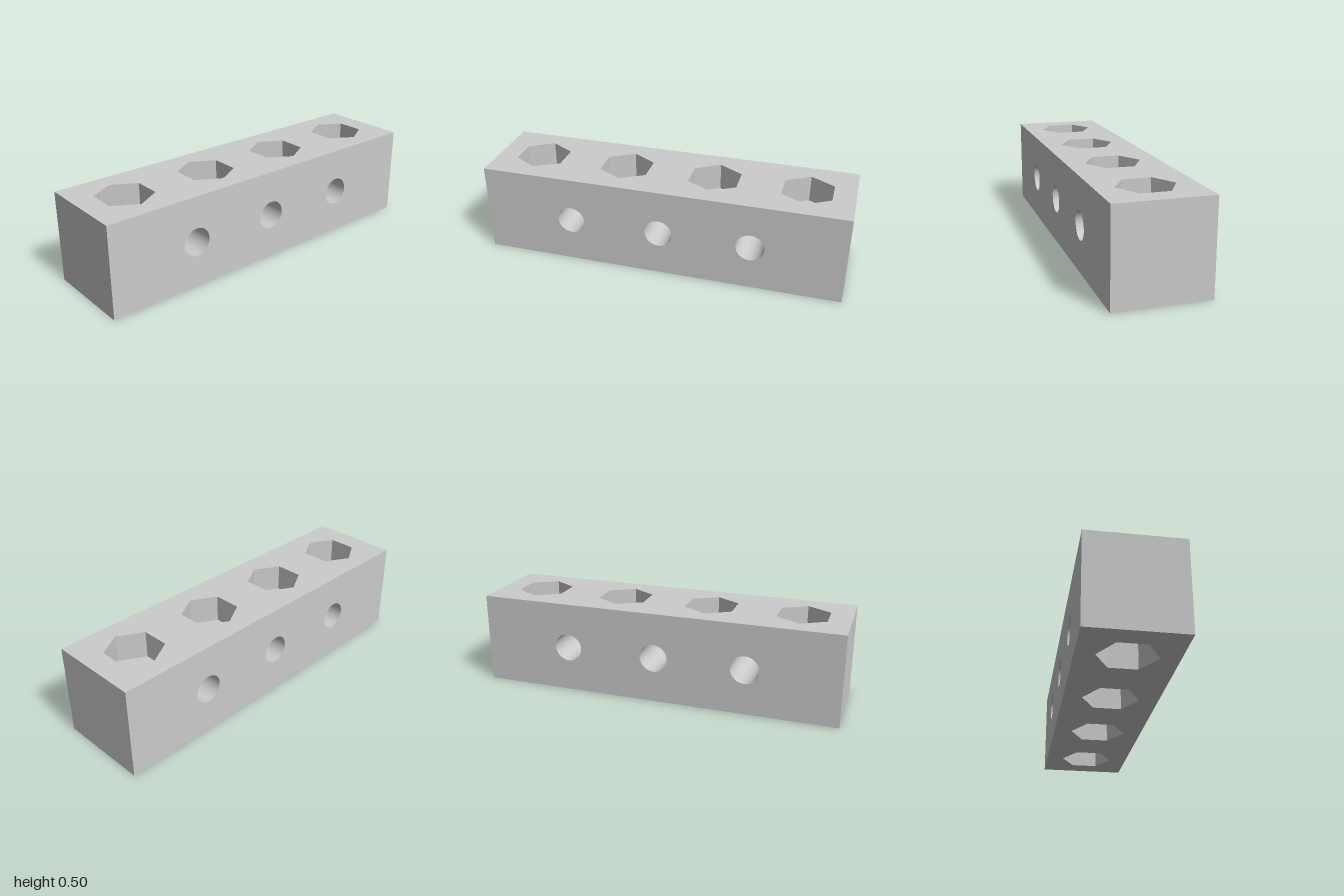
import * as THREE from 'three';

const LENGTH = 2, SIZE = 0.5, HALF = SIZE / 2;
const BORE_R = 0.077, HEX_R = 0.151, POCKET = 0.147, ROUND = 48;
const BOLT_X = [-0.75, -0.25, 0.25, 0.75];
const CROSS_X = [-0.5, 0, 0.5];

const grey = new THREE.MeshStandardMaterial({ color: 0xcccccc });
const greyFlat = new THREE.MeshStandardMaterial({ color: 0xcccccc, flatShading: true });

function add(parent, name, geometry, material = grey) {
  const mesh = new THREE.Mesh(geometry, material);
  mesh.name = name;
  parent.add(mesh);
  return mesh;
}

// Corner points of a regular polygon, first corner on the vertical axis
function ring(x, radius, sides) {
  return Array.from({ length: sides }, (_, i) => {
    const a = (i / sides) * Math.PI * 2;
    return new THREE.Vector2(x + radius * Math.sin(a), radius * Math.cos(a));
  });
}

// Flat plate outline with polygonal openings
function plate(outline, xs, radius, sides) {
  const shape = new THREE.Shape(outline);
  xs.forEach((x) => shape.holes.push(new THREE.Path(ring(x, radius, sides))));
  return new THREE.ShapeGeometry(shape);
}

// Inward-facing wall of an opening around the y axis
function wall(radius, top, bottom, sides) {
  return new THREE.LatheGeometry(
    [new THREE.Vector2(radius, top), new THREE.Vector2(radius, bottom)], sides);
}

export function createModel() {
  const model = new THREE.Group();
  model.name = 'drilledBeam';
  const beam = new THREE.Group();
  beam.name = 'beam';
  beam.position.y = HALF;
  model.add(beam);

  const L = LENGTH / 2;
  const side = [[-L, -HALF], [L, -HALF], [L, HALF], [-L, HALF]]
    .map(([x, y]) => new THREE.Vector2(x, y));

  // Front and back faces with round openings
  for (const [name, turn] of [['frontFace', 0], ['backFace', Math.PI]]) {
    const face = plate(side, CROSS_X, BORE_R, ROUND);
    add(beam, name, face.translate(0, 0, HALF).rotateY(turn));
  }

  // Top and bottom faces with hexagonal openings
  for (const [name, turn] of [['topFace', -Math.PI / 2], ['bottomFace', Math.PI / 2]]) {
    const face = plate(side, BOLT_X, HEX_R, 6);
    add(beam, name, face.translate(0, 0, HALF).rotateX(turn));
  }

  // Plain square ends
  for (const [name, s] of [['leftEnd', 1], ['rightEnd', -1]]) {
    const end = new THREE.PlaneGeometry(SIZE, SIZE).translate(0, 0, L);
    add(beam, name, end.rotateY(s * Math.PI / 2));
  }

  // Cross bores from front to back
  CROSS_X.forEach((x) => {
    const bore = wall(BORE_R, HALF, -HALF, ROUND).rotateX(Math.PI / 2);
    add(beam, 'crossBore', bore.translate(x, 0, 0));
  });

  // Vertical bolt holes with a hexagonal nut pocket at each mouth
  const inner = HALF - POCKET;
  BOLT_X.forEach((x) => {
    const hole = new THREE.Group();
    hole.name = 'boltHole';
    hole.position.x = x;
    beam.add(hole);
    add(hole, 'bore', wall(BORE_R, inner, -inner, ROUND));
    for (const s of [1, -1]) {
      const hex = s > 0 ? wall(HEX_R, HALF, inner, 6) : wall(HEX_R, -inner, -HALF, 6);
      add(hole, 'pocketWall', hex, greyFlat);
      const floor = plate(ring(0, HEX_R, 6), [0], BORE_R, ROUND);
      add(hole, 'pocketFloor', floor.translate(0, 0, inner).rotateX(-s * Math.PI / 2));
    }
  });

  return model;
}
